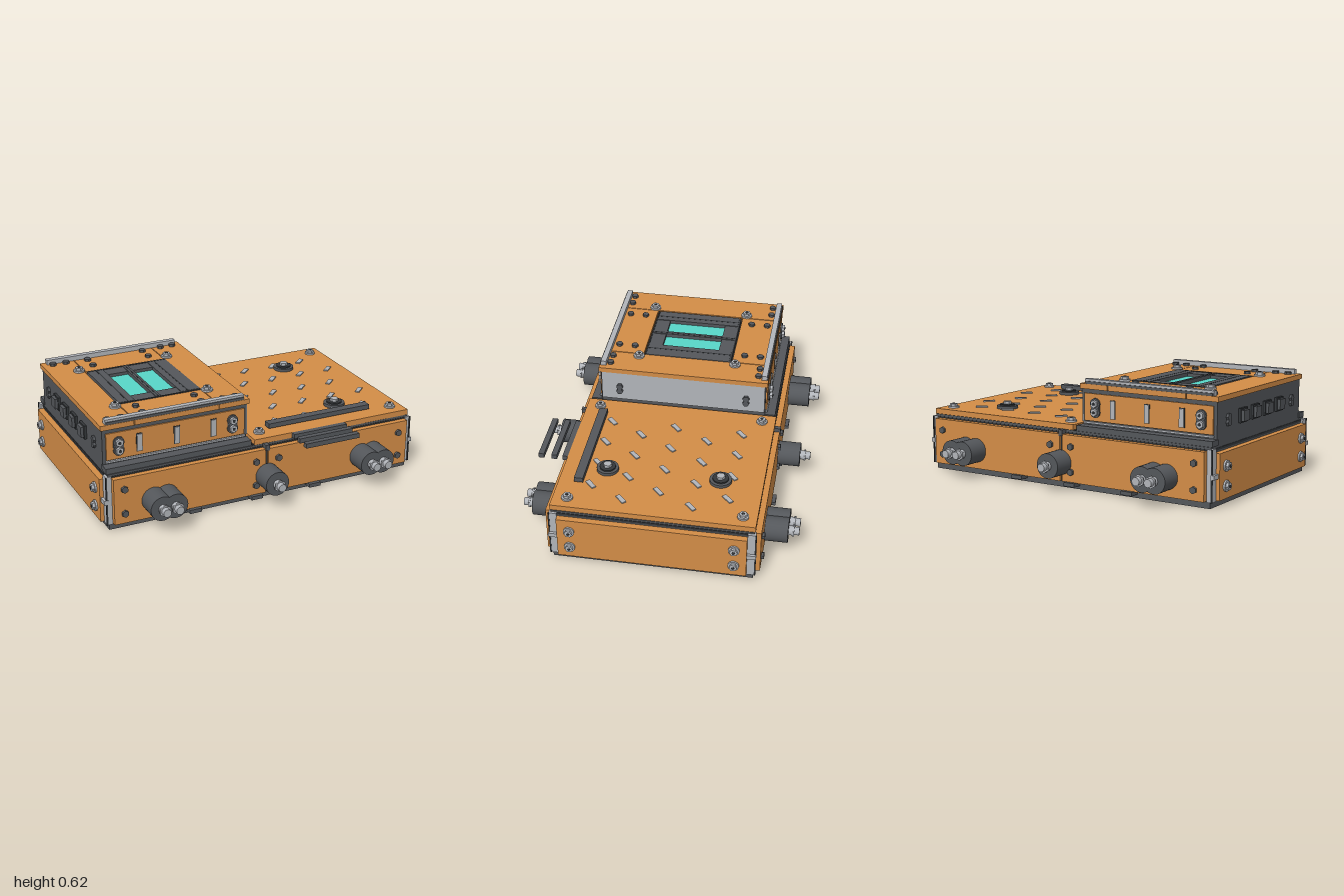
import * as THREE from 'three';

const mat = (name, color) => {
  const m = new THREE.MeshStandardMaterial({ color });
  m.name = name;
  return m;
};

export function createModel() {
  const orange = mat('orange paint', 0xd38d47);
  const dark = mat('dark metal', 0x54575b);
  const black = mat('seam black', 0x34373a);
  const grey = mat('light steel', 0xb2b5ba);
  const teal = mat('teal glass', 0x58d6c8);
  const root = new THREE.Group();

  const add = (name, geo, m, x, y, z) => {
    const mesh = new THREE.Mesh(geo, m);
    mesh.name = name;
    mesh.position.set(x, y, z);
    root.add(mesh);
    return mesh;
  };
  // box given by its limits on each axis
  const box = (name, m, x0, x1, y0, y1, z0, z1) =>
    add(name, new THREE.BoxGeometry(x1 - x0, y1 - y0, z1 - z0), m, (x0 + x1) / 2, (y0 + y1) / 2, (z0 + z1) / 2);
  // cylinder starting at a point and running along a signed axis
  const rod = (name, m, axis, sign, x, y, z, r, len, sides = 24) => {
    const g = new THREE.CylinderGeometry(r, r, len, sides).toNonIndexed();
    if (sides < 12) g.computeVertexNormals();
    g.translate(0, len / 2, 0);
    if (axis === 'x') g.rotateZ(-sign * Math.PI / 2);
    if (axis === 'z') g.rotateX(sign * Math.PI / 2);
    return add(name, g, m, x, y, z);
  };
  // washer with a hex head and a dark socket
  const bolt = (axis, sign, x, y, z, r, washer = grey, head = grey) => {
    const at = (d) => [x + (axis === 'x' ? sign * d : 0), y + (axis === 'y' ? d : 0), z + (axis === 'z' ? sign * d : 0)];
    rod('boltWasher', washer, axis, sign, x, y, z, r, 0.01);
    rod('boltHead', head, axis, sign, ...at(0.01), r * 0.72, 0.015, 6);
    rod('boltSocket', black, axis, sign, ...at(0.025), r * 0.3, 0.003, 6);
  };
  const stud = (axis, sign, x, y, z) => rod('stud', dark, axis, sign, x, y, z, 0.02, 0.015, 6);

  // lower housing
  box('baseCore', dark, -0.94, 0.94, 0, 0.33, -0.56, 0.56);
  box('baseRim', black, -0.943, 0.943, 0.305, 0.318, -0.563, 0.563);
  for (const s of [-1, 1]) {
    const z0 = s * 0.56, z1 = s * 0.595;
    for (const [a, b] of [[-0.92, -0.008], [0.008, 0.92]])
      box('longPanel', orange, a, b, 0.04, 0.31, Math.min(z0, z1), Math.max(z0, z1));
    box('panelSeam', black, -0.008, 0.008, 0.04, 0.31, Math.min(z0, s * 0.58), Math.max(z0, s * 0.58));
    box('seamTab', dark, -0.012, 0.012, 0.30, 0.335, Math.min(z0, s * 0.6), Math.max(z0, s * 0.6));
    const x0 = s * 0.94, x1 = s * 0.975;
    box('endPanel', orange, Math.min(x0, x1), Math.max(x0, x1), 0.04, 0.295, -0.525, 0.525);
    for (const t of [-1, 1]) {
      // corner posts with bracket clips
      box('cornerPost', grey, s * 0.938 - 0.016, s * 0.938 + 0.016, 0.035, 0.32, t * 0.547 - 0.022, t * 0.547 + 0.022);
      box('cornerEdge', black, s * 0.953 - 0.004, s * 0.953 + 0.004, 0.035, 0.32, t * 0.57 - 0.004, t * 0.57 + 0.004);
      box('cornerClip', grey, s * 0.957 - 0.012, s * 0.957 + 0.012, 0.16, 0.185, t * 0.55 - 0.025, t * 0.55 + 0.025);
      for (const y of [0.11, 0.22]) bolt('x', s, s * 0.975, y, t * 0.455, 0.031);
    }
    for (const x of [-0.86, -0.07, 0.07, 0.86])
      for (const y of [0.10, 0.245]) stud('z', s, x, y, z1);
    for (const x of [-0.45, -0.07, 0.3])
      box('bottomClip', dark, x - 0.036, x + 0.036, 0.02, 0.042, Math.min(s * 0.56, s * 0.617), Math.max(s * 0.56, s * 0.617));

    // cable connectors
    for (const x of [-0.69, -0.615, 0, 0.61, 0.685]) {
      rod('connectorBody', dark, 'z', s, x, 0.15, z1, 0.071, 0.13, 32);
      rod('connectorCollar', grey, 'z', s, x, 0.15, s * 0.725, 0.027, 0.022);
      rod('connectorNut', grey, 'z', s, x, 0.15, s * 0.747, 0.035, 0.01, 6);
      rod('connectorTip', grey, 'z', s, x, 0.15, s * 0.757, 0.023, 0.028);
    }
  }

  // right deck with grip dashes
  box('deckPlate', orange, -0.065, 0.94, 0.333, 0.365, -0.565, 0.565);
  box('deckGap', black, -0.075, 0.935, 0.325, 0.335, -0.558, 0.558);
  [-0.385, -0.195, 0, 0.19, 0.38].forEach((z, i) => {
    for (let k = 0; k < 4; k++) {
      const dash = box('gripDash', grey, -0.035, 0.035, 0.365, 0.372, -0.013, 0.013);
      dash.position.x = 0.145 + (i % 2 ? 0.097 : 0) + k * 0.196;
      dash.position.z = z;
      dash.rotation.y = 0.75;
    }
  });
  for (const x of [0.003, 0.865]) for (const z of [-0.487, 0.483]) bolt('y', 1, x, 0.365, z, 0.032);
  for (const z of [-0.325, 0.315]) {
    rod('mountBase', dark, 'y', 1, 0.585, 0.365, z, 0.062, 0.018, 32);
    rod('mountRing', black, 'y', 1, 0.585, 0.383, z, 0.045, 0.008, 32);
    rod('mountNut', grey, 'y', 1, 0.585, 0.391, z, 0.025, 0.016, 6);
  }
  box('deckRail', dark, 0.07, 0.73, 0.372, 0.4, 0.425, 0.475);
  for (const z of [0.58, 0.645, 0.72]) box('frontBar', dark, 0.17, 0.51, 0.337, 0.365, z - 0.016, z + 0.016);

  // raised module
  box('moduleBody', dark, -0.94, -0.085, 0.33, 0.565, -0.495, 0.495);
  box('moduleInnerFace', grey, -0.085, -0.077, 0.375, 0.56, -0.49, 0.49);
  for (const s of [-1, 1]) {
    const slab = (name, m, x0, x1, y0, y1, a, b) =>
      box(name, m, x0, x1, y0, y1, Math.min(s * a, s * b), Math.max(s * a, s * b));
    slab('moduleSkirt', dark, -0.945, -0.08, 0.33, 0.362, 0.49, 0.555);
    slab('moduleTrim', grey, -0.925, -0.095, 0.37, 0.38, 0.495, 0.508);
    slab('modulePanel', orange, -0.92, -0.1, 0.385, 0.54, 0.495, 0.503);
    for (const x of [-0.73, -0.51, -0.29]) {
      slab('slotFrame', black, x - 0.018, x + 0.018, 0.407, 0.513, 0.503, 0.506);
      slab('slot', grey, x - 0.014, x + 0.014, 0.411, 0.509, 0.503, 0.511);
    }
    for (const x of [-0.85, -0.175]) {
      slab('boltBacking', dark, x - 0.03, x + 0.03, 0.43, 0.49, 0.503, 0.508);
      for (const y of [0.437, 0.485]) bolt('z', s, x, y, s * 0.503, 0.031, dark, grey);
    }
    // top rails
    slab('topRail', grey, -0.92, -0.1, 0.592, 0.62, 0.465, 0.497);
    slab('topRailGroove', dark, -0.915, -0.105, 0.592, 0.607, 0.497, 0.503);
    for (const x of [-0.89, -0.81, -0.205, -0.13]) stud('y', 1, x, 0.592, s * 0.443);
    for (const x of [-0.68, -0.33]) for (const z of [0.335, 0.43]) stud('y', 1, x, 0.592, s * z);
    for (const x of [-0.783, -0.23]) bolt('y', 1, x, 0.592, s * 0.29, 0.033);
    // end studs
    for (const y of [0.437, 0.468]) {
      stud('x', 1, -0.077, y, s * 0.38);
      stud('x', -1, -0.94, y, s * 0.38);
    }
    // top plate front and back pieces
    slab('topPlateMiddle', orange, -0.752, -0.258, 0.563, 0.592, 0.268, 0.505);
    slab('frameEnd', dark, -0.745, -0.255, 0.565, 0.59, 0.172, 0.262);
    slab('frameLip', black, -0.745, -0.255, 0.565, 0.594, 0.254, 0.262);
  }
  box('topPlateLeft', orange, -0.95, -0.757, 0.563, 0.592, -0.505, 0.505);
  box('topPlateRight', orange, -0.253, -0.07, 0.563, 0.592, -0.505, 0.505);

  // window
  box('windowGlass', teal, -0.655, -0.365, 0.565, 0.572, -0.172, 0.172);
  for (const [a, b] of [[-0.745, -0.695], [-0.688, -0.65], [-0.525, -0.495], [-0.37, -0.332], [-0.325, -0.255]])
    box('windowBar', dark, a, b, 0.565, 0.594, -0.25, 0.25);
  for (const x of [-0.691, -0.51, -0.3285])
    box('windowBarGroove', black, x - 0.004, x + 0.004, 0.565, 0.595, -0.25, 0.25);

  // vents on the outer end
  for (const z of [-0.22, -0.075, 0.07, 0.215]) {
    box('ventFrame', black, -0.955, -0.94, 0.415, 0.495, z - 0.04, z + 0.04);
    box('ventCover', dark, -0.972, -0.955, 0.425, 0.485, z - 0.032, z + 0.032);
  }
  return root;
}
